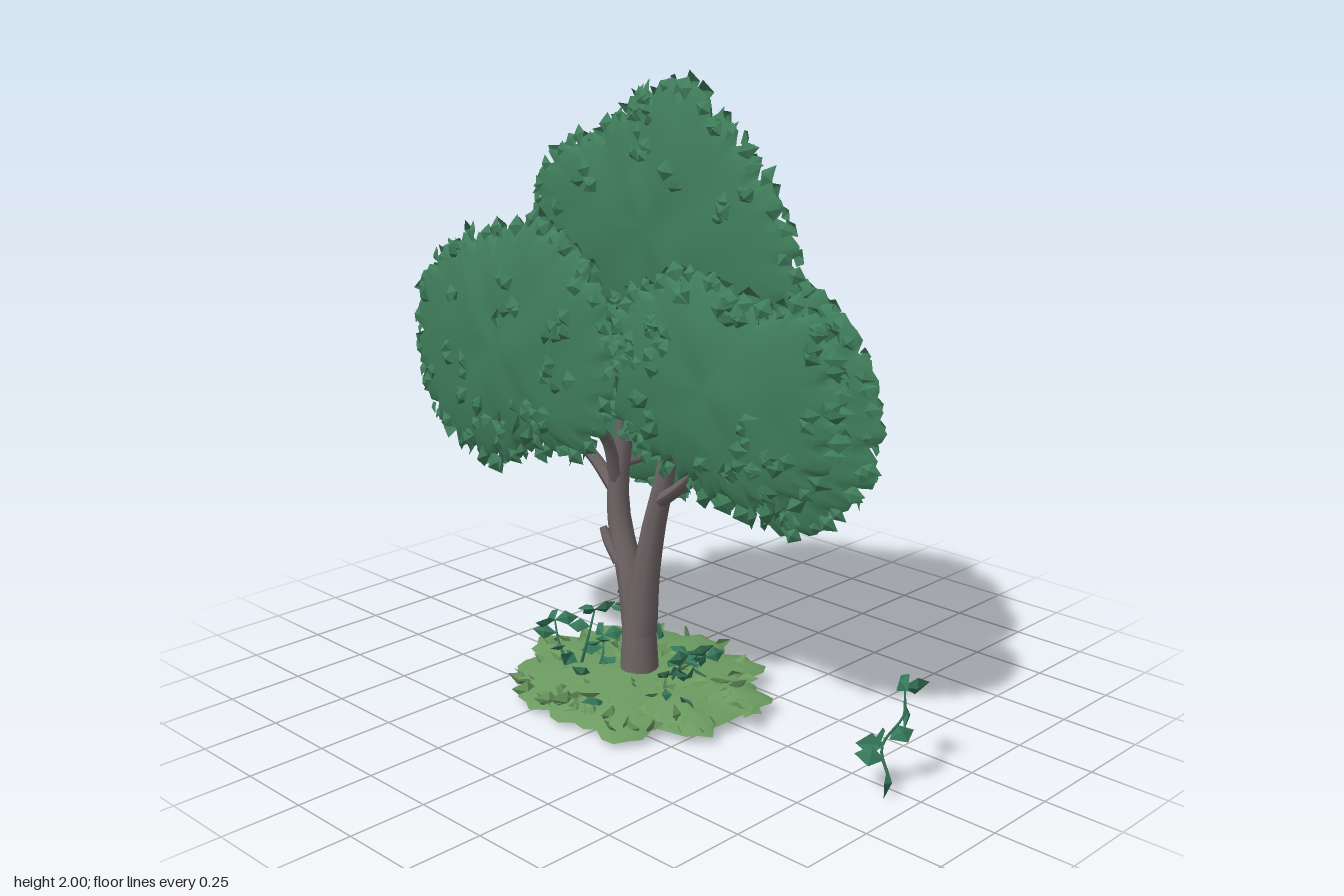
import * as THREE from 'three';
import { mergeGeometries } from 'three/addons/utils/BufferGeometryUtils.js';

const paint = (name, color) => {
  const m = new THREE.MeshStandardMaterial({ color, side: THREE.DoubleSide });
  m.name = name;
  return m;
};

// Small seeded random generator
function seeded(seed) {
  let s = seed;
  return () => ((s = (s * 16807) % 2147483647) / 2147483647);
}
const V = (x, y, z) => new THREE.Vector3(x, y, z);

// Closed counter-clockwise outline in x/y: a smooth ring and a ragged copy with leafy teeth
function raggedOutline(points, count, amount, rand) {
  const curve = new THREE.CatmullRomCurve3(points.map(([x, y]) => V(x, y, 0)), true);
  const ring = curve.getSpacedPoints(count).slice(0, count);
  if (THREE.ShapeUtils.area(ring) < 0) ring.reverse();
  const centre = ring.reduce((a, p) => a.add(p), V(0, 0, 0)).divideScalar(count);
  const ragged = ring.map((p, i) => {
    const out = p.clone().sub(centre).normalize();
    const tooth = [0.9, 0.1, 0.6, -1.1, 0.3][i % 5] + (rand() - 0.5) * 0.9;
    return p.clone().addScaledVector(out, amount * tooth);
  });
  return { ring, ragged, centre };
}

// Shallow lens with a ragged rim and gentle swells; front and back have their own depths
function lens({ ring, ragged, centre }, front, back, swell) {
  const steps = [0.2, 0.4, 0.58, 0.74, 0.86, 0.94, 1];
  const n = ring.length, pos = [], idx = [];
  for (const [side, depth] of [[1, front], [-1, back]]) {
    const base = pos.length / 3;
    pos.push(centre.x, centre.y, side * depth);
    for (const t of steps) {
      for (let i = 0; i < n; i++) {
        const q = centre.clone().lerp(t < 0.9 ? ring[i] : ragged[i], t);
        const wave = swell * Math.sin(q.x * 23 + side) * Math.sin(q.y * 19 + q.x * 7) * (1 - t);
        pos.push(q.x, q.y, side * depth * Math.pow(1 - t * t, 0.6) + wave);
      }
    }
    const tri = (a, b, c) => (side > 0 ? idx.push(a, b, c) : idx.push(a, c, b));
    for (let i = 0; i < n; i++) {
      const j = (i + 1) % n;
      tri(base, base + 1 + i, base + 1 + j);
      for (let k = 0; k < steps.length - 1; k++) {
        const a = base + 1 + k * n, b = a + n;
        tri(a + i, b + i, b + j);
        tri(a + i, b + j, a + j);
      }
    }
  }
  const g = new THREE.BufferGeometry();
  g.setAttribute('position', new THREE.Float32BufferAttribute(pos, 3));
  g.setIndex(idx);
  g.computeVertexNormals();
  return g;
}

// Pointed leaf folded along its midrib, growing from "at" along "dir"
function leaf(at, dir, length, width, roll) {
  const w = width / 2, f = width * 0.2;
  const g = new THREE.BufferGeometry();
  const base = [0, 0, 0], tip = [0, 1, -f], mid = [0, 0.5, f], l = [-w, 0.5, 0], r = [w, 0.5, 0];
  const pts = [base, mid, l, l, mid, tip, base, r, mid, mid, r, tip].flat();
  g.setAttribute('position', new THREE.Float32BufferAttribute(pts, 3));
  g.scale(1, length, 1).rotateY(roll);
  g.applyQuaternion(new THREE.Quaternion().setFromUnitVectors(V(0, 1, 0), dir.clone().normalize()));
  g.translate(at.x, at.y, at.z);
  g.computeVertexNormals();
  return g;
}

// Tapered limb along a smooth path
function limb(path, r0, r1, sides = 10) {
  const curve = new THREE.CatmullRomCurve3(path.map(p => V(...p)));
  const seg = 14, g = new THREE.TubeGeometry(curve, seg, 1, sides);
  const p = g.attributes.position, v = V(0, 0, 0);
  for (let i = 0; i < p.count; i++) {
    const u = Math.floor(i / (sides + 1)) / seg, c = curve.getPointAt(u);
    v.fromBufferAttribute(p, i).sub(c).multiplyScalar(r0 + (r1 - r0) * u).add(c);
    p.setXYZ(i, v.x, v.y, v.z);
  }
  g.computeVertexNormals();
  return g;
}

// Leafy pads: outline, plane z = z0 + a(x - cx) + b(y - cy), half thickness
const PADS = [
  { name: 'backFoliage', z0: -0.335, a: -0.05, b: 0.075, half: 0.07, outline: [[0.53, 1.05], [0.49, 0.74], [0.37, 0.63],
    [0.17, 0.49], [0, 0.57], [-0.25, 0.55], [-0.55, 0.58], [-0.71, 0.76], [-0.8, 0.95], [-0.65, 1.15], [-0.4, 1.27], [-0.1, 1.36], [0.15, 1.38], [0.4, 1.27]] },
  { name: 'topFoliage', z0: -0.02, a: 0, b: -0.05, half: 0.062, outline: [[0, 1.96], [0.2, 1.85], [0.36, 1.7], [0.48, 1.5],
    [0.48, 1.35], [0.3, 1.23], [0, 1.19], [-0.3, 1.21], [-0.53, 1.31], [-0.62, 1.45], [-0.61, 1.64], [-0.5, 1.74], [-0.33, 1.79], [-0.18, 1.9]] },
  { name: 'frontRightFoliage', z0: 0.32, a: 0.11, b: -0.06, half: 0.062, outline: [[0.14, 1.12], [0.08, 1.38], [-0.1, 1.51],
    [-0.22, 1.55], [-0.45, 1.5], [-0.7, 1.43], [-0.84, 1.33], [-0.9, 1.17], [-0.83, 0.92], [-0.67, 0.82], [-0.45, 0.79], [-0.2, 0.88], [0.04, 0.93]] },
  { name: 'frontLeftFoliage', z0: 0.145, a: -0.21, b: -0.03, half: 0.06, outline: [[0.72, 1.03], [0.64, 1.36], [0.45, 1.36],
    [0.25, 1.44], [0.05, 1.36], [-0.1, 1.15], [0, 0.96], [0.2, 0.86], [0.4, 0.78], [0.58, 0.81]] },
];

function foliagePad({ name, z0, a, b, half, outline }, material, seed) {
  const rand = seeded(seed), edge = raggedOutline(outline, 110, 0.022, rand);
  const { ring, centre } = edge, parts = [lens(edge, half, half, 0.012).toNonIndexed()];
  // Broad rim leaves fan outwards in the plane; surface leaves lie almost flat in small clumps
  const addLeaf = (p, t, side, rim) => {
    const at = centre.clone().lerp(p, t);
    at.z = side * half * Math.pow(1 - t * t, 0.6);
    const dir = p.clone().sub(centre).normalize().multiplyScalar(rim ? 1 : 0.5);
    dir.add(V(rand() - 0.5, rand() - 0.5, 0).multiplyScalar(1.3)).normalize();
    dir.z = side * (rim ? -0.15 : 0.12);
    parts.push(leaf(at, dir, 0.05 + rand() * 0.03, 0.045 + rand() * 0.02, (rand() - 0.5) * 0.9 + (side < 0 ? Math.PI : 0)));
  };
  for (let i = 0; i < 90; i++) {
    addLeaf(ring[Math.floor((i + rand()) / 90 * ring.length) % ring.length], 0.9 + rand() * 0.06, i % 2 ? 1 : -1, true);
  }
  for (let i = 0; i < 60; i++) {
    const p = ring[Math.floor(rand() * ring.length)], t = Math.sqrt(0.1 + 0.7 * rand());
    for (let k = 0; k < 2; k++) addLeaf(p, t, i % 2 ? 1 : -1, false);
  }
  const g = mergeGeometries(parts), pos = g.attributes.position;
  for (let i = 0; i < pos.count; i++) {
    pos.setZ(i, pos.getZ(i) + z0 + a * (pos.getX(i) - centre.x) + b * (pos.getY(i) - centre.y));
  }
  const mesh = new THREE.Mesh(g, material);
  mesh.name = name;
  return mesh;
}

export function createModel() {
  const tree = new THREE.Group();
  tree.name = 'tree';
  const bark = paint('bark', 0x6e6365), green = paint('foliage green', 0x3f7d5b);
  const shrub = paint('undergrowth green', 0x35775a), grass = paint('grass green', 0x6b9a60);
  const add = (name, geometry, material) => {
    const m = new THREE.Mesh(geometry, material);
    m.name = name;
    tree.add(m);
  };

  PADS.forEach((pad, i) => tree.add(foliagePad(pad, green, 101 + i * 977)));

  // Trunk and forked boughs
  add('trunk', limb([[-0.12, 0.03, 0.02], [-0.12, 0.18, 0.02], [-0.122, 0.38, 0.018]], 0.066, 0.044, 14), bark);
  add('rightBough', limb([[-0.128, 0.2, 0.018], [-0.16, 0.38, 0.018], [-0.21, 0.53, 0.015], [-0.22, 0.66, 0.015], [-0.2, 0.82, 0.01], [-0.16, 1.25, 0]], 0.052, 0.014), bark);
  add('leftBough', limb([[-0.112, 0.2, 0.018], [-0.09, 0.4, 0.018], [-0.05, 0.6, 0.015], [-0.02, 0.7, 0.015], [0.01, 0.87, 0.01], [0.04, 1.25, 0]], 0.052, 0.014), bark);
  add('brokenStub', limb([[-0.19, 0.43, 0.03], [-0.235, 0.49, 0.045], [-0.255, 0.53, 0.05]], 0.032, 0.012), bark);
  const BRANCHES = [
    [[-0.22, 0.65, 0.02], [-0.33, 0.76, 0.03], [-0.41, 0.84, 0.08], [-0.56, 0.98, 0.28]],
    [[-0.22, 0.68, 0.02], [-0.19, 0.86, 0.1], [-0.16, 1.02, 0.32]],
    [[-0.03, 0.66, 0.02], [0.1, 0.75, 0.05], [0.24, 0.87, 0.09], [0.36, 0.98, 0.13]],
    [[0, 0.82, 0.01], [0.06, 0.92, 0.06], [0.1, 1.02, 0.17]],
    [[-0.37, 0.8, 0.04], [-0.43, 0.9, -0.08], [-0.49, 1.02, -0.3]],
    [[-0.21, 0.74, 0.06], [-0.23, 0.735, -0.1], [-0.26, 0.73, -0.32]],
    [[0, 0.82, 0], [-0.05, 0.9, -0.1], [-0.13, 1.02, -0.31]],
    [[0.01, 0.85, 0], [0.1, 0.9, -0.08], [0.18, 0.97, -0.31]],
  ];
  BRANCHES.forEach((p, i) => add('branch', limb(p, i === 5 ? 0.012 : 0.024, 0.012, 7), bark));

  // Ragged grassy mound, dipping slightly towards the front
  const rand = seeded(4242);
  const rim = Array.from({ length: 18 }, (_, i) => {
    const t = i / 18 * Math.PI * 2, r = 0.87 + (i % 2) * 0.1 + rand() * 0.1;
    return [-0.11 + Math.cos(t) * 0.45 * r, -0.03 + Math.sin(t) * 0.36 * r];
  });
  const mound = lens(raggedOutline(rim, 60, 0.025, rand), 0.045, 0.004, 0.01);
  add('grassMound', mound.rotateX(-Math.PI / 2 + 0.05).translate(0, 0.032, 0), grass);
  const blades = [], litter = [];
  for (let i = 0; i < 100; i++) {
    const t = rand() * Math.PI * 2, r = Math.sqrt(rand()) * 0.95;
    const at = V(-0.11 + Math.cos(t) * 0.42 * r, 0, 0.03 + Math.sin(t) * 0.33 * r);
    at.y = 0.03 + 0.04 * (1 - r * r) - 0.05 * at.z;
    const dark = i % 4 === 0 && r < 0.7;
    const dir = V(Math.cos(t) + rand() - 0.5, dark ? 0.6 : 0.1 + rand() * 0.25, Math.sin(t) + rand() - 0.5);
    (dark ? litter : blades).push(leaf(at, dir, 0.06 + rand() * 0.05, 0.04 + rand() * 0.03, rand() * 6));
  }
  add('grassBlades', mergeGeometries(blades), grass);
  add('groundLeaves', mergeGeometries(litter), shrub);

  // Leafy seedlings on curved stems
  const SEEDLINGS = [
    [[-0.3, 0.04, 0.12], [-0.28, 0.15, 0.1], [-0.3, 0.23, 0.05]],
    [[-0.33, 0.04, 0.14], [-0.38, 0.12, 0.14], [-0.42, 0.18, 0.12]],
    [[-0.24, 0.04, 0.1], [-0.23, 0.1, 0.08], [-0.26, 0.15, 0.05]],
    [[0.02, 0.04, 0.04], [0.05, 0.11, 0.02], [0.08, 0.17, 0]],
    [[0, 0.04, -0.06], [0.02, 0.07, -0.09], [0.04, 0.11, -0.12]],
    [[-0.22, 0.04, -0.04], [-0.25, 0.16, -0.06], [-0.28, 0.24, -0.09]],
  ];
  for (const path of SEEDLINGS) {
    add('seedlingStem', limb(path, 0.006, 0.003, 5), shrub);
    const curve = new THREE.CatmullRomCurve3(path.map(p => V(...p)));
    const leaves = [0.45, 0.7, 1, 1, 1].map((u, i) => {
      const t = i * 2.3 + rand();
      return leaf(curve.getPoint(u), V(Math.cos(t), 0.25 - rand() * 0.4, Math.sin(t)), 0.07 + rand() * 0.02, 0.052, rand() * 2);
    });
    add('seedlingLeaves', mergeGeometries(leaves), shrub);
  }

  // Detached drooping sprig
  add('sprigStem', limb([[0.91, 0.04, 0.03], [0.87, 0.13, 0.02], [0.9, 0.22, -0.04], [0.87, 0.28, -0.08]], 0.005, 0.003, 5), shrub);
  const SPRIG = [
    [[0.89, 0.28, -0.07], [-0.08, 0.02, -0.05]], [[0.86, 0.28, -0.08], [0.05, 0, -0.07]],
    [[0.89, 0.26, -0.05], [0.03, -0.06, 0.02]], [[0.88, 0.14, 0.02], [-0.09, -0.02, 0.02]],
    [[0.86, 0.13, 0.01], [0.02, 0.05, 0.03]], [[0.88, 0.15, 0], [0.03, 0.02, -0.08]],
    [[0.89, 0.1, 0.03], [-0.06, 0.02, 0.05]], [[0.9, 0.08, 0.03], [0.02, -0.07, 0.02]],
  ];
  add('sprigLeaves', mergeGeometries(SPRIG.map(([p, d], i) => leaf(V(...p), V(...d), 0.088, 0.065, i * 1.3))), shrub);
  return tree;
}
